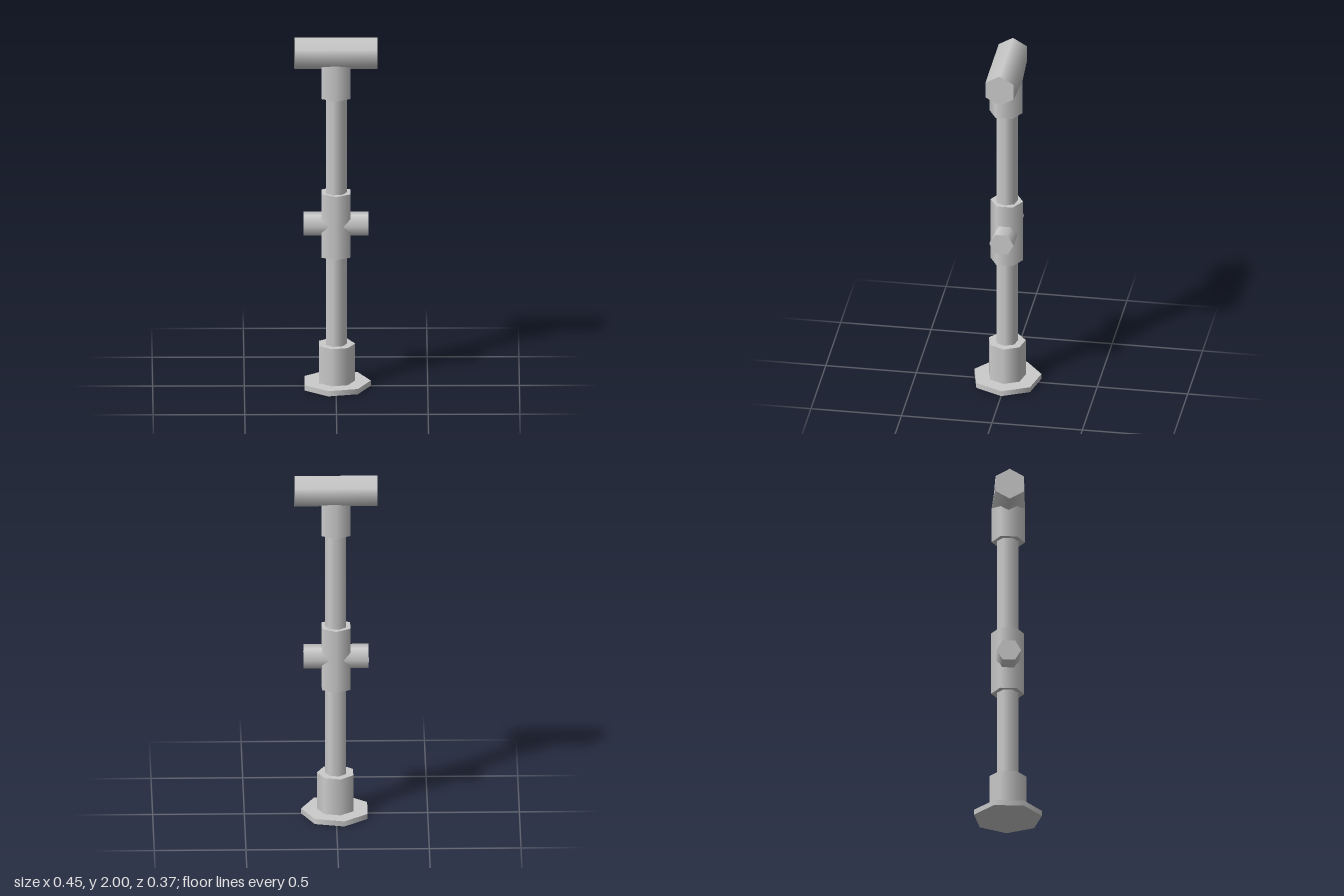
import * as THREE from 'three';

const material = new THREE.MeshStandardMaterial({ color: 0xcccccc });

// Upright prism between two heights, first corner at angle start (0 = +z)
function upright(name, radius, y0, y1, sides, start = 0) {
  const geo = new THREE.CylinderGeometry(radius, radius, y1 - y0, sides, 1, false, start);
  geo.translate(0, (y0 + y1) / 2, 0);
  const mesh = new THREE.Mesh(geo, material);
  mesh.name = name;
  return mesh;
}

// Hexagonal prism lying along x
function crosswise(name, radius, length, y, start = 0) {
  const geo = new THREE.CylinderGeometry(radius, radius, length, 6, 2, false, start);
  geo.rotateZ(Math.PI / 2);
  const mesh = new THREE.Mesh(geo, material);
  mesh.name = name;
  mesh.position.y = y;
  return mesh;
}

export function createModel() {
  const group = new THREE.Group();
  group.name = 'post';
  const toX = Math.PI / 2;

  // Seven-sided foot and pole
  group.add(
    upright('baseFlange', 0.19, 0, 0.03, 7, toX),
    upright('baseSocket', 0.104, 0.03, 0.243, 7, toX),
    upright('pole', 0.061, 0.03, 1.85, 7, toX)
  );

  // Six-sided cross fitting with side stubs
  group.add(
    upright('middleSleeve', 0.09, 0.75, 1.113, 6),
    crosswise('sideStubs', 0.067, 0.355, 0.932)
  );

  // Tee fitting at the top
  const sleeve = upright('topSleeve', 0.091, 1.662, 1.866, 6);
  const bar = crosswise('topBar', 0.09, 0.45, 1.91, toX);

  // The lower side edges of the bar swell out to meet the sleeve
  const pos = bar.geometry.attributes.position;
  for (let i = 0; i < pos.count; i++) {
    if (Math.abs(pos.getX(i)) < 0.01 && pos.getY(i) < 0 && Math.abs(pos.getZ(i)) > 0.05) {
      pos.setZ(i, Math.sign(pos.getZ(i)) * 0.091);
    }
  }
  sleeve.position.z = bar.position.z = 0.003;
  group.add(sleeve, bar);

  return group;
}
